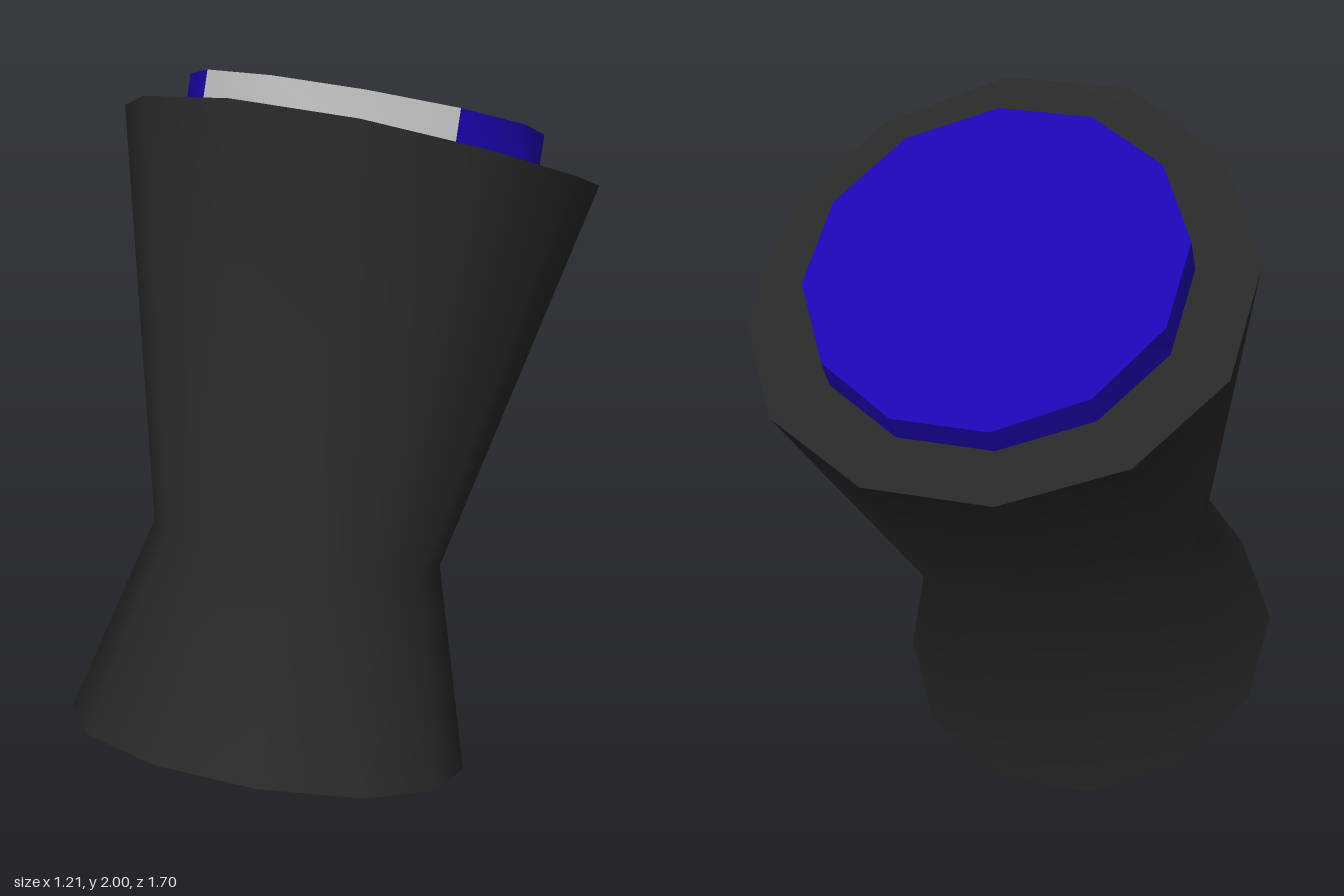
import * as THREE from 'three';
import { toCreasedNormals } from 'three/addons/utils/BufferGeometryUtils.js';

const SIDES = 12;
const ROLL = 0.025;

// A tilted twelve-sided ring: centre, radii across and along, tilt in radians,
// and how far its left and right sides sag
function ring([cx, cy, cz], rx, rz, tilt, sag = 0) {
  const points = [];
  for (let i = 0; i < SIDES; i++) {
    const a = ((i + 0.5) / SIDES) * Math.PI * 2;
    const u = rx * Math.cos(a), v = rz * Math.sin(a);
    const drop = u * ROLL + sag * Math.cos(a) ** 2;
    points.push([cx + u, cy + v * Math.sin(tilt) - drop, cz + v * Math.cos(tilt)]);
  }
  return { centre: [cx, cy - sag, cz], points };
}

// Walls between successive rings, limited to the chosen sides
function walls(rings, keep = () => true) {
  const out = [];
  for (let k = 0; k < rings.length - 1; k++) {
    const lo = rings[k].points, hi = rings[k + 1].points;
    for (let i = 0; i < SIDES; i++) {
      if (!keep(i)) continue;
      const j = (i + 1) % SIDES;
      out.push(lo[i], hi[i], hi[j], lo[i], hi[j], lo[j]);
    }
  }
  return out;
}

// Upward-facing lid on a ring
function lid({ centre, points }) {
  return points.flatMap((p, i) => [centre, points[(i + 1) % SIDES], p]);
}

function makeMesh(name, triangles, material) {
  const geometry = new THREE.BufferGeometry();
  geometry.setAttribute('position', new THREE.Float32BufferAttribute(triangles.flat(), 3));
  const mesh = new THREE.Mesh(toCreasedNormals(geometry, 0.8), material);
  mesh.name = name;
  return mesh;
}

function makeMaterial(name, color, side = THREE.FrontSide) {
  const material = new THREE.MeshStandardMaterial({ color, side });
  material.name = name;
  return material;
}

export function createModel() {
  const black = makeMaterial('black', 0x282828, THREE.DoubleSide);
  const blue = makeMaterial('blue', 0x1b05b0);
  const grey = makeMaterial('grey', 0xb2b2b2);
  const group = new THREE.Group();
  group.name = 'waistedStand';

  // Leaning hollow body: open base, waist and wide top with sagging sides
  const body = [
    ring([-0.038, 0.223, 0.388], 0.531, 0.531, 0.449),
    ring([-0.03, 0.708, 0.158], 0.385, 0.376, 0.448),
    ring([0, 1.71, -0.302], 0.626, 0.641, 0.487, 0.042),
  ];
  group.add(makeMesh('body', walls(body), black));
  group.add(makeMesh('bodyTop', lid(body[2]), black));

  // Raised disc on the top, with a grey front edge
  const disc = [
    ring([0, 1.66, -0.287], 0.466, 0.477, 0.497),
    ring([0, 1.77, -0.345], 0.466, 0.477, 0.497),
  ];
  const isFront = (i) => i >= 1 && i <= 3;
  group.add(makeMesh('disc', [...walls(disc, (i) => !isFront(i)), ...lid(disc[1])], blue));
  group.add(makeMesh('discFrontEdge', walls(disc, isFront), grey));
  return group;
}
